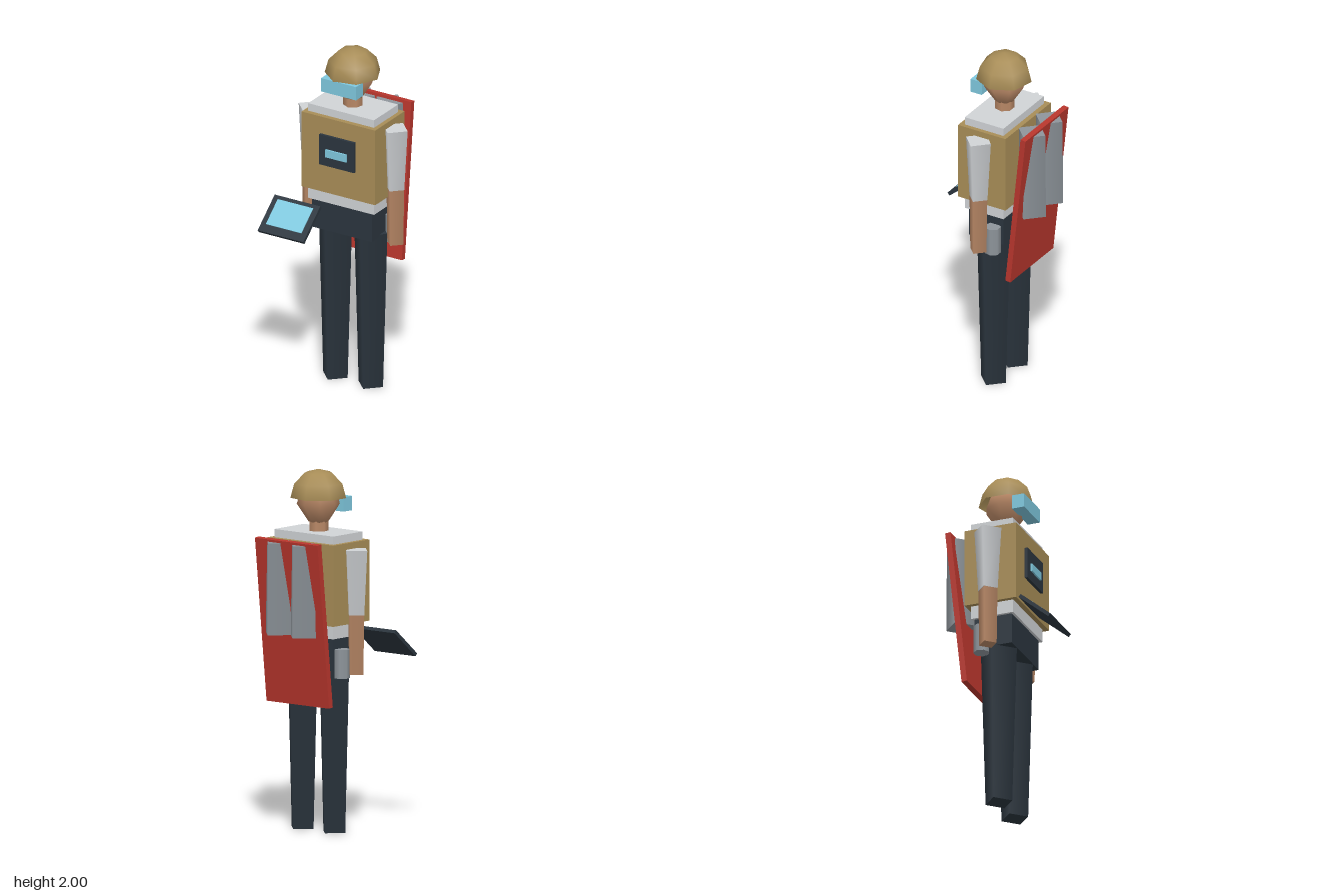
import * as THREE from 'three';

const flat = (name, color) => {
  const m = new THREE.MeshStandardMaterial({ color });
  m.name = name;
  return m;
};

export function createModel() {
  const khaki = flat('khaki', 0xa88d57);
  khaki.side = THREE.DoubleSide;
  const shirt = flat('shirt white', 0xd0d3d6);
  const skin = flat('skin', 0xb98866);
  const navy = flat('dark navy', 0x2b353e);
  const red = flat('red', 0xb8362d);
  const grey = flat('metal grey', 0x8e959b);
  const cyan = flat('glass cyan', 0x7fc8de);

  const model = new THREE.Group();
  model.name = 'fieldWorker';

  const add = (name, geo, mat, x, y, z, parent = model) => {
    const mesh = new THREE.Mesh(geo, mat);
    mesh.name = name;
    mesh.position.set(x, y, z);
    parent.add(mesh);
    return mesh;
  };
  // Box given by its size and centre
  const box = (name, mat, w, h, d, x, y, z, parent) =>
    add(name, new THREE.BoxGeometry(w, h, d), mat, x, y, z, parent);
  // Upright post between two heights
  const post = (name, mat, rTop, rBottom, y0, y1, x, z, sides = 4) =>
    add(name, new THREE.CylinderGeometry(rTop, rBottom, y1 - y0, sides), mat, x, (y0 + y1) / 2, z);

  const cx = 0.005, cz = -0.045; // body axis

  // Torso and hips
  box('shirtTorso', shirt, 0.426, 0.57, 0.248, cx, 1.375, cz);
  box('vest', khaki, 0.476, 0.45, 0.305, cx, 1.39, cz);
  box('hips', navy, 0.388, 0.18, 0.22, cx - 0.003, 1.005, cz);

  // Chest unit with its display
  box('chestUnit', navy, 0.226, 0.18, 0.03, 0.004, 1.424, 0.109);
  box('chestDisplay', cyan, 0.136, 0.045, 0.03, 0.004, 1.413, 0.119);

  // Limbs, hip canisters and back tanks, mirrored
  for (const [side, s] of [['left', 1], ['right', -1]]) {
    post(side + 'Leg', navy, 0.107, 0.079, 0, 0.93, cx + s * 0.1145, cz);
    post(side + 'Sleeve', shirt, 0.08, 0.058, 1.22, 1.58, cx + s * 0.273, cz);
    post(side + 'Forearm', skin, 0.057, 0.052, 0.89, 1.22, cx + s * 0.273, cz);
    post(side + 'Canister', grey, 0.045, 0.045, 0.87, 1.03, cx + s * 0.22, -0.105, 7);
    post(side + 'Tank', grey, 0.086, 0.09, 1.105, 1.615, cx + s * 0.09, -0.277);
  }

  // Leaning back board
  const board = box('backBoard', red, 0.452, 0.92, 0.032, 0.004, 1.172, -0.253);
  board.rotation.x = -0.106;

  // Neck, head and goggles
  post('neck', skin, 0.055, 0.055, 1.65, 1.72, cx, cz, 7);
  const headProfile = [[0, -0.115], [0.055, -0.1], [0.12, 0], [0.09, 0.085], [0, 0.12]]
    .map(([r, y]) => new THREE.Vector2(r, y));
  add('head', new THREE.LatheGeometry(headProfile, 8), skin, cx, 1.81, cz);
  box('goggles', cyan, 0.226, 0.08, 0.072, 0.004, 1.805, 0.068);

  // Seven-sided domed helmet
  const helmet = add('helmet',
    new THREE.SphereGeometry(0.157, 7, 3, 0, Math.PI * 2, 0, Math.PI / 2), khaki, cx, 1.844, cz);
  helmet.rotation.y = Math.PI;

  // Tilted tablet with its screen facing up and forward
  const tablet = new THREE.Group();
  tablet.name = 'tablet';
  tablet.position.set(-0.21, 1.033, 0.2675);
  tablet.rotation.x = THREE.MathUtils.degToRad(40);
  model.add(tablet);
  box('tabletBody', navy, 0.295, 0.02, 0.23, 0, 0, 0, tablet);
  box('tabletScreen', cyan, 0.229, 0.006, 0.16, -0.001, 0.011, -0.012, tablet);

  return model;
}
